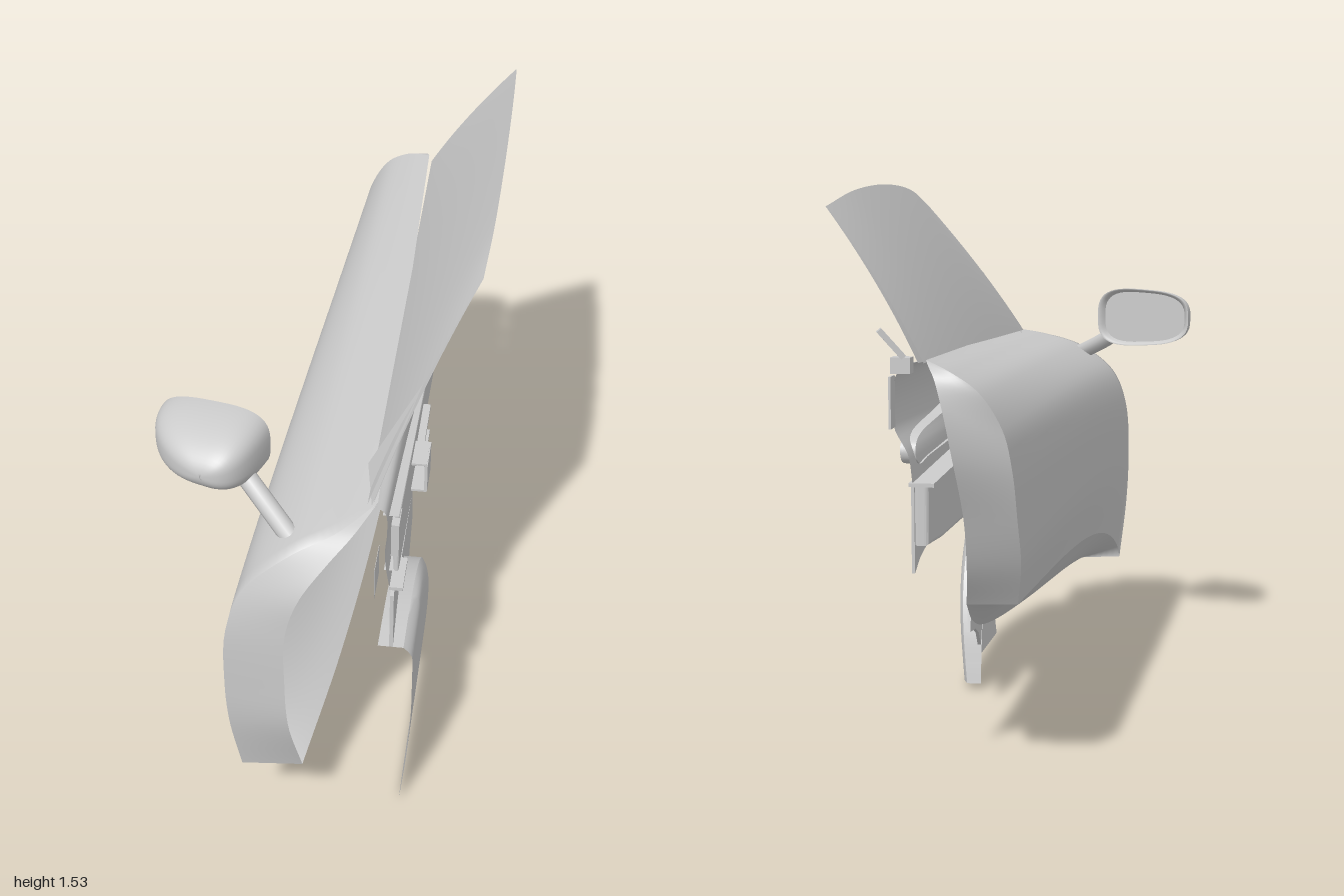
import * as THREE from 'three';
import { ParametricGeometry } from 'three/addons/geometries/ParametricGeometry.js';

const V = (p) => new THREE.Vector3(...p);
const curve = (pts) => new THREE.CatmullRomCurve3(pts.map(V), false, 'centripetal');
const lerp = THREE.MathUtils.lerp;

export function createModel() {
  const root = new THREE.Group();
  const mat = new THREE.MeshStandardMaterial({ color: 0xcccccc, side: THREE.DoubleSide });

  const add = (name, geo, parent = root) => {
    const m = new THREE.Mesh(geo, mat);
    m.name = name;
    parent.add(m);
    return m;
  };
  // smooth sheet from a rule (u, v) -> Vector3
  const sheet = (name, fn, nu, nv, parent) =>
    add(name, new ParametricGeometry((u, v, t) => t.copy(fn(u, v)), nu, nv), parent);
  // sheet ruled between two edges
  const ruled = (name, a, b, n = 40, m = 4) =>
    sheet(name, (u, v) => a(u).clone().lerp(b(u), v), n, m);
  // side panel drawn as [z, y] points, thick from x0 to x1, leaning by shift(z)
  const panel = (name, pts, x0, x1, bevel = 0, shift = () => 0) => {
    const shape = new THREE.Shape(pts.map((p) => new THREE.Vector2(-p[0], p[1])));
    const geo = new THREE.ExtrudeGeometry(shape, {
      depth: x1 - x0 - 2 * bevel, bevelEnabled: bevel > 0, bevelThickness: bevel,
      bevelSize: bevel, bevelOffset: -bevel, bevelSegments: 4,
    });
    geo.translate(0, 0, x0 + bevel).rotateY(Math.PI / 2);
    const pos = geo.attributes.position;
    for (let i = 0; i < pos.count; i++) pos.setX(i, pos.getX(i) + shift(pos.getZ(i)));
    geo.computeVertexNormals();
    return add(name, geo);
  };
  const box = (name, size, pos, rot = [0, 0, 0]) => {
    const m = add(name, new THREE.BoxGeometry(...size));
    m.position.set(...pos);
    m.rotation.set(...rot);
    return m;
  };

  // Outer door skin, lofted from front edge to rear edge
  const front = curve([[-0.16, 0.25, 0.95], [-0.18, 0.45, 0.99], [-0.185, 0.6, 1], [-0.175, 0.78, 1],
    [-0.13, 0.9, 0.98], [-0.02, 0.99, 0.945], [0.09, 1.03, 0.89], [0.18, 1.055, 0.79]]);
  const rear = curve([[-0.06, 0.48, -0.78], [-0.08, 0.6, -0.86], [-0.08, 0.72, -0.92], [-0.075, 0.85, -0.97],
    [-0.055, 0.95, -0.99], [0, 1.04, -1], [0.07, 1.085, -0.98], [0.14, 1.11, -0.93]]);
  const skin = (s, t) => {
    const p = front.getPoint(t).lerp(rear.getPoint(t), s);
    p.y += (1 - t) ** 2 * 0.11 * Math.sin(Math.PI * s ** 0.6);
    return p;
  };
  sheet('doorSkin', skin, 40, 40);

  // Flanges turned inward at the front, rear and bottom
  const frontInner = curve([[0, 0.245, 0.93], [-0.025, 0.45, 0.99], [-0.03, 0.6, 1], [-0.025, 0.78, 1],
    [0.01, 0.89, 0.99], [0.07, 0.97, 0.95], [0.13, 1.025, 0.89], [0.18, 1.055, 0.79]]);
  const rearInner = curve([[0.075, 0.47, -0.76], [0.06, 0.58, -0.84], [0.055, 0.72, -0.91], [0.07, 0.88, -0.98],
    [0.09, 1, -1], [0.11, 1.07, -0.99], [0.13, 1.1, -0.96], [0.14, 1.11, -0.93]]);
  const bottomInner = curve([[0, 0.245, 0.93], [0.045, 0.25, 0.5], [0.08, 0.275, 0],
    [0.095, 0.33, -0.4], [0.085, 0.4, -0.63], [0.075, 0.47, -0.76]]);
  ruled('frontFlange', (t) => front.getPoint(t), (t) => frontInner.getPoint(t));
  ruled('rearFlange', (t) => rear.getPoint(t), (t) => rearInner.getPoint(t));
  sheet('bottomFlange', (u, v) => {
    const p = skin(u, 0).lerp(bottomInner.getPoint(u), v);
    p.y -= 0.02 * Math.sin(v * Math.PI) * Math.sin(u * Math.PI);
    return p;
  }, 40, 8);

  // Window glass, leaning inward with a slight bow, two faces
  const glassTop = curve([[0.39, 1.465, 0.37], [0.403, 1.51, 0.2], [0.41, 1.53, -0.1],
    [0.41, 1.515, -0.5], [0.405, 1.475, -0.83]]);
  const glass = (off) => (u, v) => {
    const p = new THREE.Vector3(0.15, lerp(1.04, 1.1, u), lerp(0.8, -0.91, u)).lerp(glassTop.getPoint(u), v);
    p.x += off * (1 - v * 0.8) - 0.05 * v * (1 - v);
    return p;
  };
  sheet('windowOuterFace', glass(0), 32, 12);
  sheet('windowInnerFace', glass(0.014), 32, 12);
  // Small corner piece ahead of the glass
  const corner = new THREE.BufferGeometry().setFromPoints(
    [[0.135, 1.05, 0.63], [0.165, 1.05, 0.8], [0.265, 1.27, 0.57]].map(V));
  corner.computeVertexNormals();
  add('windowCorner', corner);

  // Upper trim below the window
  const trimFront = curve([[0.175, 1.05, 0.8], [0.2, 1.03, 0.8], [0.205, 0.97, 0.8], [0.2, 0.9, 0.8],
    [0.205, 0.84, 0.8], [0.215, 0.78, 0.8]]);
  const trimRear = curve([[0.155, 1.1, -0.82], [0.225, 1.08, -0.82], [0.25, 1.02, -0.82], [0.245, 0.93, -0.82],
    [0.21, 0.86, -0.82], [0.2, 0.79, -0.82]]);
  ruled('upperTrim', (t) => trimFront.getPoint(t), (t) => trimRear.getPoint(t), 24, 12);
  panel('upperTrimEnd', [[-0.81, 1.06], [-0.86, 1.06], [-0.86, 0.93], [-0.81, 0.93]], 0.244, 0.25);

  // Tapered band with a rounded rear end: face and rim
  const bandEdge = curve([[0.23, 1.0, 0.77], [0.235, 0.985, 0.4], [0.235, 0.95, 0], [0.24, 0.92, -0.4], [0.245, 0.897, -0.7],
    [0.245, 0.88, -0.745], [0.245, 0.855, -0.755], [0.24, 0.83, -0.74], [0.24, 0.83, -0.6], [0.235, 0.835, 0], [0.235, 0.82, 0.77]]);
  panel('trimBand', bandEdge.getPoints(50).map((p) => [p.z, p.y]), 0.222, 0.236, 0.006, (z) => 0.008 * (0.4 - z));
  ruled('trimBandRim', (t) => bandEdge.getPoint(t), (t) => bandEdge.getPoint(t).add(V([-0.04, 0, 0])), 60, 2);

  // Door pull: hollow cover with two prongs
  box('pullCover', [0.008, 0.09, 0.1], [0.274, 0.915, 0.45]);
  for (const y of [0.872, 0.958]) {
    box('pullWall', [0.07, 0.006, 0.1], [0.24, y, 0.45]);
    box('pullProng', [0.02, 0.012, 0.17], [0.25, y - 0.003, 0.315]);
  }
  box('frontBracket', [0.001, 0.09, 0.1], [0.187, 0.895, 0.865]);
  box('hingePlate', [0.02, 0.1, 0.07], [0.225, 0.945, 0.765]);
  box('trimLip', [0.035, 0.01, 0.12], [0.23, 0.785, 0.74]);

  // Lower trim sheet, drifting outboard toward the rear, cut around the pocket
  const pocketEdge = [[0.8, 0.582], [0.68, 0.582], [0.57, 0.572], [0.45, 0.545], [0.35, 0.5], [0.27, 0.44],
    [0.2, 0.36], [0.15, 0.27], [0.12, 0.18], [0.1, 0.08], [0.09, 0.02]];
  panel('lowerTrim', [[0.8, 0.76], [0.4, 0.785], [0, 0.8], [-0.02, 0.77], [-0.02, 0.64], [0.01, 0.56],
    [0, 0.45], [-0.03, 0.41], [-0.1, 0.39], [-0.14, 0.24], [-0.02, 0.22], [0.05, 0.19], [0.1, 0.14],
    ...pocketEdge.slice(0, 9).reverse()], 0.215, 0.225, 0, (z) => -0.042 * (0.8 - z));
  // Map pocket: bowed face with a rolled rim
  const pocketX = (y, roll) => 0.25 + 0.028 * Math.sin(Math.min(y / 0.4, 1) * Math.PI / 2) - 0.025 * roll;
  const rim = curve(pocketEdge.map(([z, y]) => [0, y, z]));
  sheet('mapPocketFace', (u, v) => {
    const p = new THREE.Vector3(0, 0.582 * (1 - u), 0.8).lerp(rim.getPoint(u), v);
    const roll = Math.max(v ** 16, Math.max(0, (p.y - 0.54) / 0.042) ** 2);
    p.x = pocketX(p.y, roll);
    return p;
  }, 40, 32);
  sheet('mapPocketRim', (u, v) => {
    const p = rim.getPoint(u);
    p.x = lerp(pocketX(p.y, 1), 0.185, v);
    return p;
  }, 40, 4);

  // Armrest: deep block, thin tail and ledge
  const flare = (z) => -0.025 * z;
  panel('armrestBlock', [[0, 0.8], [-0.815, 0.785], [-0.815, 0.63], [-0.65, 0.62], [0, 0.62]], 0.14, 0.18, 0.012, flare);
  panel('armrestFace', [[0, 0.8], [-0.82, 0.785], [-0.82, 0.56], [-0.76, 0.59], [-0.65, 0.615], [0, 0.62]],
    0.175, 0.183, 0, flare);
  panel('armrestLedge', [[0, 0.805], [-0.82, 0.79], [-0.82, 0.78], [0, 0.79]], 0.145, 0.21);

  // Latch pieces at the rear of the sill
  box('latchTab', [0.09, 0.015, 0.025], [0.235, 1.145, -0.89], [0, 0.3, 0.85]);
  box('latchBlock', [0.05, 0.04, 0.04], [0.215, 1.09, -0.86]);

  // Door mirror: rounded shell, rim and recessed glass
  const mirror = new THREE.Group();
  mirror.name = 'doorMirror';
  mirror.position.set(-0.26, 1.107, 0.612);
  mirror.rotation.y = -0.26;
  root.add(mirror);
  const ring = (u, k, z) => {
    const c = Math.cos(u * Math.PI * 2), s = Math.sin(u * Math.PI * 2);
    const x = Math.sign(c) * Math.abs(c) ** 0.65;
    const y = Math.sign(s) * Math.abs(s) ** 0.65;
    return new THREE.Vector3(0.154 * k * x, 0.09 * k * y * (1 + 0.1 * x), z);
  };
  sheet('mirrorShell', (u, v) => {
    const depth = Math.sin(v * Math.PI / 2);
    const p = ring(u, Math.cos(v * Math.PI / 2) ** 0.95, 0.195 * depth);
    p.x += 0.05 * depth * depth;
    return p;
  }, 48, 16, mirror);
  sheet('mirrorRim', (u, v) => ring(u, 1 - 0.12 * v, 0.02 * v * v), 48, 3, mirror);
  sheet('mirrorGlass', (u, v) => ring(u, 0.88 * (1 - v), 0.02), 48, 2, mirror);
  add('mirrorStalk', new THREE.TubeGeometry(curve([[-0.2, 1.075, 0.69], [-0.12, 1.02, 0.76], [-0.02, 0.965, 0.86]]), 12, 0.026, 12));

  return root;
}
